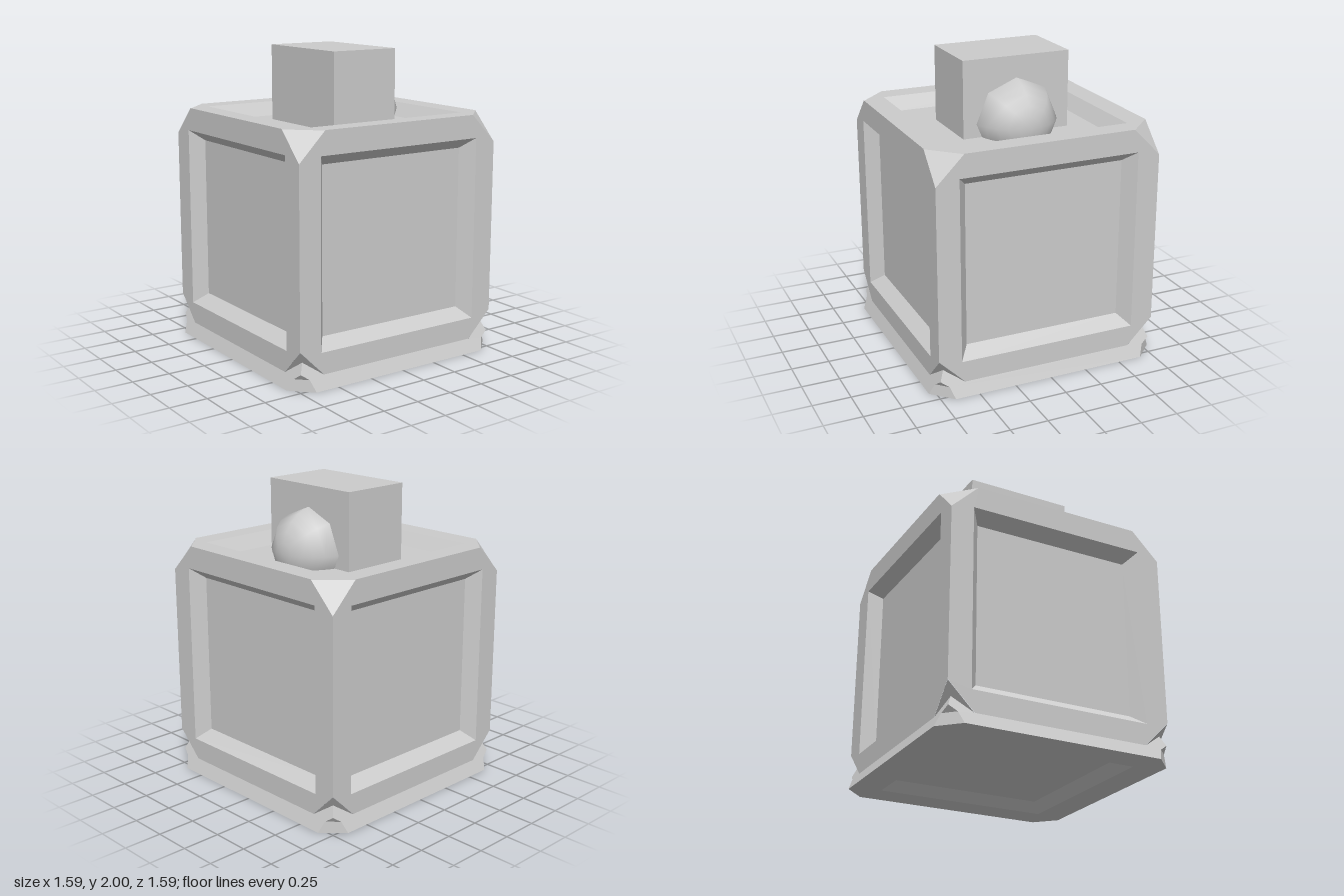
import * as THREE from 'three';
import { mergeGeometries } from 'three/addons/utils/BufferGeometryUtils.js';

const material = new THREE.MeshStandardMaterial({ color: 0xcccccc });
const H = 0.755;      // half size of the cube
const CY = 0.828;     // height of its centre
const CUT = 0.185;    // corner chamfer
const DEPTH = 0.088;  // depth of the recesses
const FOOT = 0.793;   // half size of the flared foot
const FOOT_CUT = 0.131;
const RIM = 0.087;    // height where the foot meets the cube sides
const LOW = CY - H, TOP = CY + H;
const SLOPE = (FOOT - H) / RIM;

function named(name, geometry) {
  const mesh = new THREE.Mesh(geometry, material);
  mesh.name = name;
  return mesh;
}

// Flat-shaded geometry from convex polygons, counter-clockwise from outside
function polygons(list) {
  const positions = [];
  for (const p of list) {
    for (let i = 1; i < p.length - 1; i++) positions.push(...p[0], ...p[i], ...p[i + 1]);
  }
  const geometry = new THREE.BufferGeometry();
  geometry.setAttribute('position', new THREE.Float32BufferAttribute(positions, 3));
  geometry.computeVertexNormals();
  return geometry;
}

// Octagonal face in the xy plane with a bevelled square recess, facing +z
function panel(half, cut, opening, floor, depth) {
  const k = half - cut;
  const outline = [[-k, -half], [k, -half], [half, -k], [half, k], [k, half], [-k, half], [-half, k], [-half, -k]];
  const square = [[-1, -1], [1, -1], [1, 1], [-1, 1]];
  const outer = square.map(([x, y]) => [x * opening, y * opening, 0]);
  const inner = square.map(([x, y]) => [x * floor, y * floor, -depth]);
  const walls = outer.map((p, i) => [p, outer[(i + 1) % 4], inner[(i + 1) % 4], inner[i]]);

  const shape = new THREE.Shape(outline.map(([x, y]) => new THREE.Vector2(x, y)));
  shape.holes.push(new THREE.Path(outer.map(([x, y]) => new THREE.Vector2(x, y))));
  const frame = new THREE.ShapeGeometry(shape).toNonIndexed();
  frame.deleteAttribute('uv');
  return mergeGeometries([frame, polygons([...walls, inner])]);
}

// One sloping side of the foot, through the points of its right half
function footSide(half) {
  const outline = [...half, ...half.map(([x, y]) => [-x, y]).reverse()];
  const geometry = new THREE.ShapeGeometry(new THREE.Shape(outline.map(([x, y]) => new THREE.Vector2(x, y))));
  const pos = geometry.attributes.position;
  for (let i = 0; i < pos.count; i++) pos.setZ(i, FOOT - SLOPE * pos.getY(i));
  geometry.computeVertexNormals();
  return geometry;
}

export function createModel() {
  const model = new THREE.Group();
  model.name = 'panelledCube';

  // Corner points on the foot's slope; the peak is where its edge meets the lower chamfer
  const onSlope = (x, y) => [x, y, FOOT - SLOPE * y];
  const onEdge = y => onSlope(FOOT - SLOPE * y, y);
  const mirrored = ([x, y, z]) => [z, y, x];
  const chamferSum = 2 * H - LOW - CUT;
  const peak = onEdge((2 * FOOT - chamferSum) / (1 + 2 * SLOPE));
  const tip = onEdge(0.113);
  const notch = onSlope(0.69, 0.075);
  const base = onSlope(FOOT - FOOT_CUT, 0);
  const rim = onSlope(chamferSum + RIM - H, RIM);

  const k = H - CUT;
  const topChamfer = polygons([[[k, TOP, H], [H, TOP - CUT, H], [H, TOP, k]]]);
  const ridge = [H, LOW + CUT, H];
  const lowChamfer = polygons([[ridge, rim, peak], [ridge, peak, mirrored(rim)]]);
  const footCorner = polygons([
    [tip, notch, mirrored(notch)],
    [notch, base, mirrored(base), mirrored(notch)]
  ]);
  const sidePanel = panel(H, CUT, 0.603, 0.535, DEPTH);
  const skirt = footSide([base, notch, tip, peak, rim]);

  // Four sides and four corners
  ['front', 'left', 'back', 'right'].forEach((side, i) => {
    const quarter = new THREE.Group();
    quarter.name = side + 'Side';
    const face = named('sidePanel', sidePanel);
    face.position.set(0, CY + 0.003, H);
    quarter.add(
      face,
      named('footSide', skirt),
      named('upperCornerChamfer', topChamfer),
      named('lowerCornerChamfer', lowChamfer),
      named('footCorner', footCorner)
    );
    quarter.rotation.y = i * Math.PI / 2;
    model.add(quarter);
  });

  // Top and bottom; the bottom recess is shallower
  const top = named('topPanel', sidePanel);
  top.rotation.x = -Math.PI / 2;
  top.position.y = TOP;
  const bottom = named('bottomPanel', panel(FOOT, FOOT_CUT, 0.592, 0.522, 0.062));
  bottom.rotation.x = Math.PI / 2;
  model.add(top, bottom);

  // Block standing in the top recess, with a ball set into its side
  const floorY = TOP - DEPTH;
  const block = named('topBlock', new THREE.BoxGeometry(0.48, 2 - floorY, 0.73));
  block.position.y = (2 + floorY) / 2;
  const ball = named('sideBall', new THREE.SphereGeometry(0.282, 8, 12));
  ball.rotation.z = -Math.PI / 2;
  ball.position.set(0.186, TOP, 0);
  model.add(block, ball);

  return model;
}
